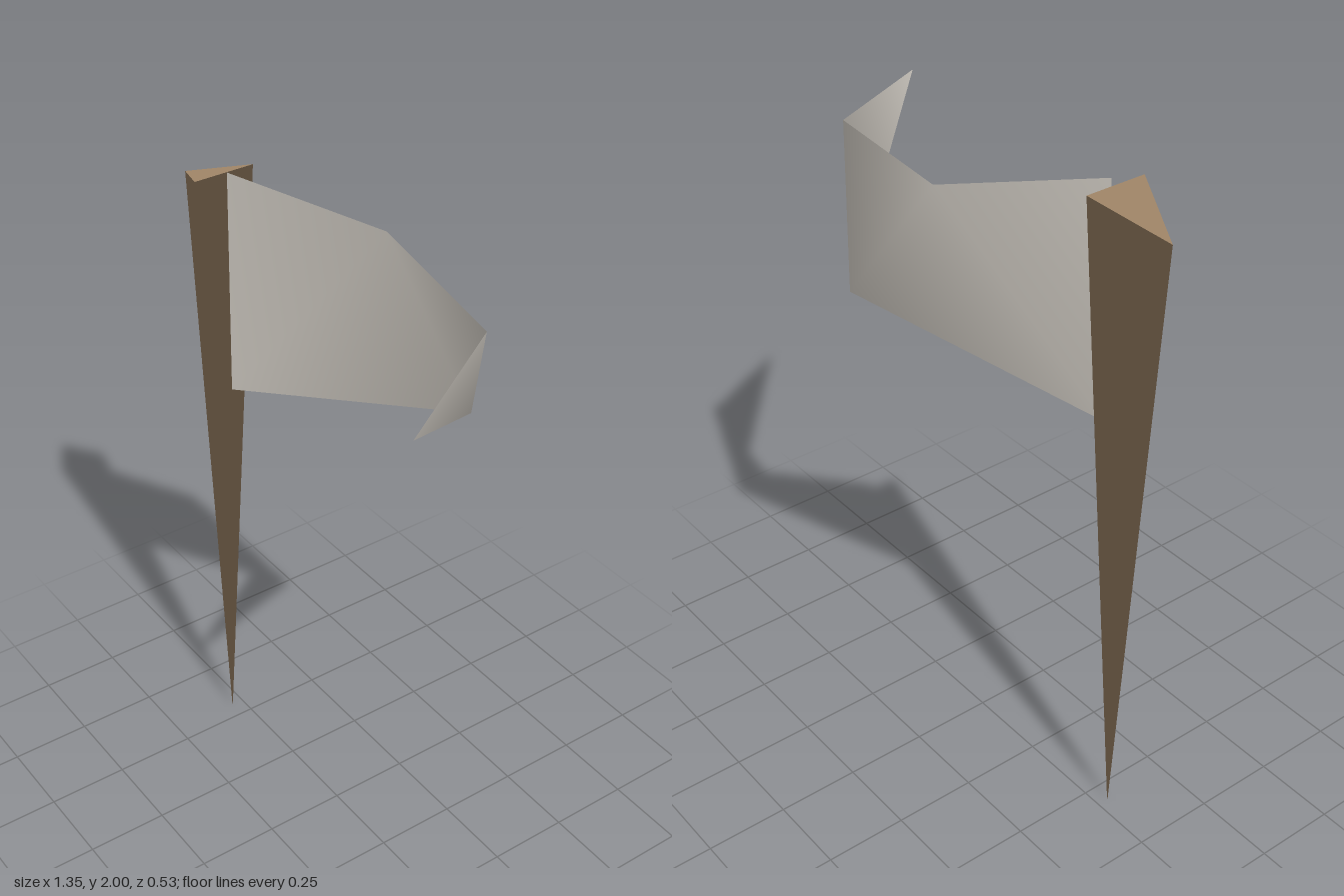
import * as THREE from 'three';

export function createModel() {
  const group = new THREE.Group();
  const wood = new THREE.MeshStandardMaterial({ color: 0xa08668 });
  wood.name = 'wood';
  const cloth = new THREE.MeshStandardMaterial({ color: 0xccc7bf, side: THREE.DoubleSide });
  cloth.name = 'cloth';

  // Three-sided pole, tapering to a point at the ground, with a slanted top
  const poleGeo = new THREE.CylinderGeometry(1, 0.008, 1, 3, 1, false, -Math.PI / 2);
  const p = poleGeo.attributes.position;
  for (let i = 0; i < p.count; i++) {
    const top = p.getY(i) > 0;
    const x = p.getX(i) * 0.137;
    const z = p.getZ(i) * 0.107;
    p.setXYZ(i, x + (top ? -0.538 : -0.557), top ? 1.965 + 0.365 * x : 0, z + 0.037);
  }
  const pole = new THREE.Mesh(poleGeo, wood);
  pole.name = 'pole';
  group.add(pole);

  // Curved pennant: upper edge from pole to tip, then the lower edge back
  const corners = [
    [-0.45, 2.0, 0.04], [-0.07, 1.91, -0.212], [0.44, 1.88, -0.135],
    [0.67, 1.845, 0.265], [0.24, 1.485, -0.27], [-0.47, 1.305, 0.04],
  ];
  const flagGeo = new THREE.BufferGeometry();
  flagGeo.setAttribute('position', new THREE.Float32BufferAttribute(corners.flat(), 3));
  flagGeo.setIndex([0, 5, 1, 1, 5, 4, 1, 4, 2, 2, 4, 3]);
  flagGeo.computeVertexNormals();
  const flag = new THREE.Mesh(flagGeo, cloth);
  flag.name = 'flag';
  group.add(flag);

  return group;
}
